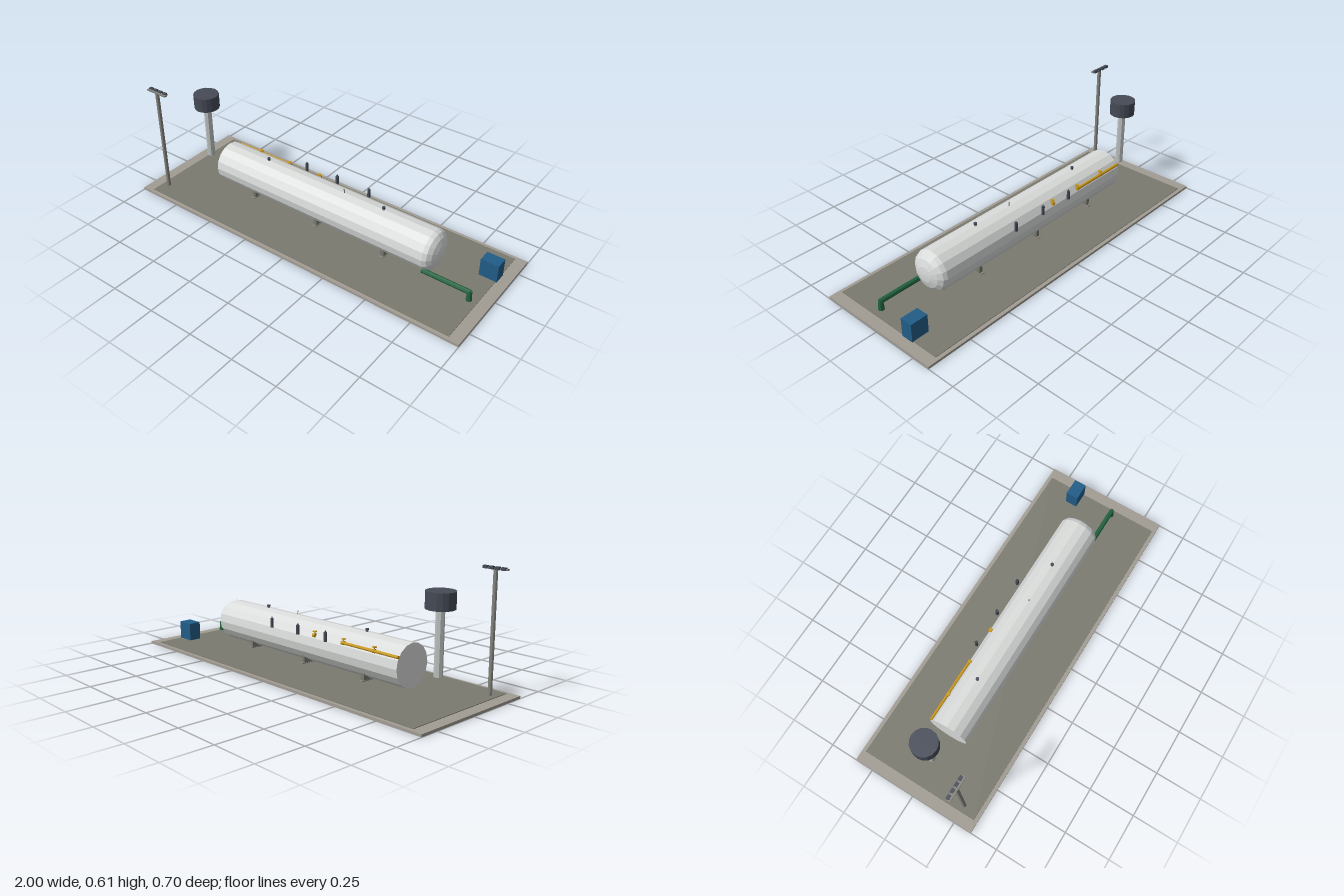
import * as THREE from 'three';

const mat = (name, color) => {
  const m = new THREE.MeshStandardMaterial({ color, flatShading: true });
  m.name = name;
  return m;
};

export function createModel() {
  const root = new THREE.Group();
  root.name = 'storageTankSite';
  const kerbGrey = mat('kerb concrete', 0xa19c93);
  const slabGrey = mat('slab concrete', 0x7b7a70);
  const white = mat('tank white', 0xd9dcda);
  const steel = mat('steel', 0x85847f);
  const pale = mat('pale steel', 0xbcc2c0);
  const dark = mat('dark grey', 0x454a56);
  const yellow = mat('pipe yellow', 0xc9981a);
  const green = mat('pipe green', 0x22633f);
  const blue = mat('cabinet blue', 0x215d88);

  const add = (name, geo, material, x, y, z, parent = root) => {
    const mesh = new THREE.Mesh(geo, material);
    mesh.name = name;
    mesh.position.set(x, y, z);
    parent.add(mesh);
    return mesh;
  };
  const box = (name, m, w, h, d, x, y, z, parent) =>
    add(name, new THREE.BoxGeometry(w, h, d), m, x, y, z, parent);
  // upright cylinder between two heights
  const post = (name, m, r, y0, y1, x, z, sides = 8, rBottom = r, parent = root) =>
    add(name, new THREE.CylinderGeometry(r, rBottom, y1 - y0, sides), m, x, (y0 + y1) / 2, z, parent);
  // cylinder lying along x
  const pipe = (name, m, r, x0, x1, y, z, sides = 8, parent = root) =>
    add(name, new THREE.CylinderGeometry(r, r, x1 - x0, sides).rotateZ(-Math.PI / 2), m, (x0 + x1) / 2, y, z, parent);

  // Ground
  box('kerb', kerbGrey, 2, 0.013, 0.7, 0, 0.0065, 0);
  box('slab', slabGrey, 1.88, 0.012, 0.66, 0, 0.01, 0);

  // Tank: flat left end, shallow dome on the right
  const R = 0.108, TY = 0.152;
  const profile = [new THREE.Vector2(0, -0.65), new THREE.Vector2(R, -0.65)];
  for (let i = 0; i <= 4; i++) {
    const a = (i / 4) * Math.PI / 2;
    profile.push(new THREE.Vector2(i === 4 ? 0 : R * Math.cos(a), 0.65 + 0.054 * Math.sin(a)));
  }
  add('tank', new THREE.LatheGeometry(profile, 16).rotateZ(-Math.PI / 2), white, 0, TY, 0);

  // Saddles under the tank
  for (const x of [-0.415, 0, 0.415]) {
    const saddle = new THREE.Group();
    saddle.name = 'saddle';
    root.add(saddle);
    box('saddleWeb', slabGrey, 0.02, 0.038, 0.16, x, 0.062, 0, saddle);
    box('saddleFoot', steel, 0.026, 0.004, 0.184, x, 0.043, 0, saddle);
  }

  // Fittings along the tank top
  for (const x of [-0.367, 0.364]) {
    post('topNozzle', steel, 0.007, 0.25, 0.268, x, 0);
    post('topNozzleFlange', dark, 0.009, 0.267, 0.275, x, 0);
  }
  post('vent', steel, 0.002, 0.25, 0.28, 0.128, 0, 6);
  box('ventTip', steel, 0.008, 0.003, 0.003, 0.125, 0.279, 0);

  // Yellow line along the back with hand valves
  pipe('yellowPipe', yellow, 0.008, -0.65, -0.3, 0.208, -0.096);
  for (const x of [-0.5, -0.3, -0.1]) {
    const valve = new THREE.Group();
    valve.name = 'valve';
    root.add(valve);
    pipe('valveBody', yellow, 0.011, x - 0.008, x + 0.008, 0.208, -0.094, 8, valve);
    post('valveStem', steel, 0.003, 0.21, 0.226, x, -0.091, 6, 0.003, valve);
    post('handwheel', yellow, 0.011, 0.225, 0.229, x, -0.091, 8, 0.011, valve);
  }

  // Dark gauges along the back
  for (const x of [-0.2, 0, 0.2]) {
    post('gauge', dark, 0.0085, 0.198, 0.246, x, -0.115);
    post('gaugeTip', dark, 0.003, 0.246, 0.254, x, -0.115, 6);
  }

  // Green outlet
  pipe('outletPipe', green, 0.013, 0.645, 0.905, 0.074, 0.081);
  post('outletDrop', green, 0.012, 0.027, 0.08, 0.902, 0.081, 8, 0.016);

  // Cabinet
  box('cabinet', blue, 0.096, 0.1, 0.068, 0.898, 0.063, -0.151);

  // Raised drum on its column
  post('drumColumn', pale, 0.021, 0.133, 0.445, -0.8, 0, 8);
  post('drum', dark, 0.069, 0.441, 0.521, -0.8, 0, 16);

  // Lamp post with a row of lamps
  post('lampPost', steel, 0.0105, 0, 0.6, -0.903, 0.25, 8);
  box('lampBar', steel, 0.13, 0.008, 0.018, -0.903, 0.602, 0.25);
  for (let i = 0; i < 4; i++) {
    box('lamp', dark, 0.022, 0.014, 0.016, -0.951 + i * 0.032, 0.605, 0.241);
  }

  return root;
}
